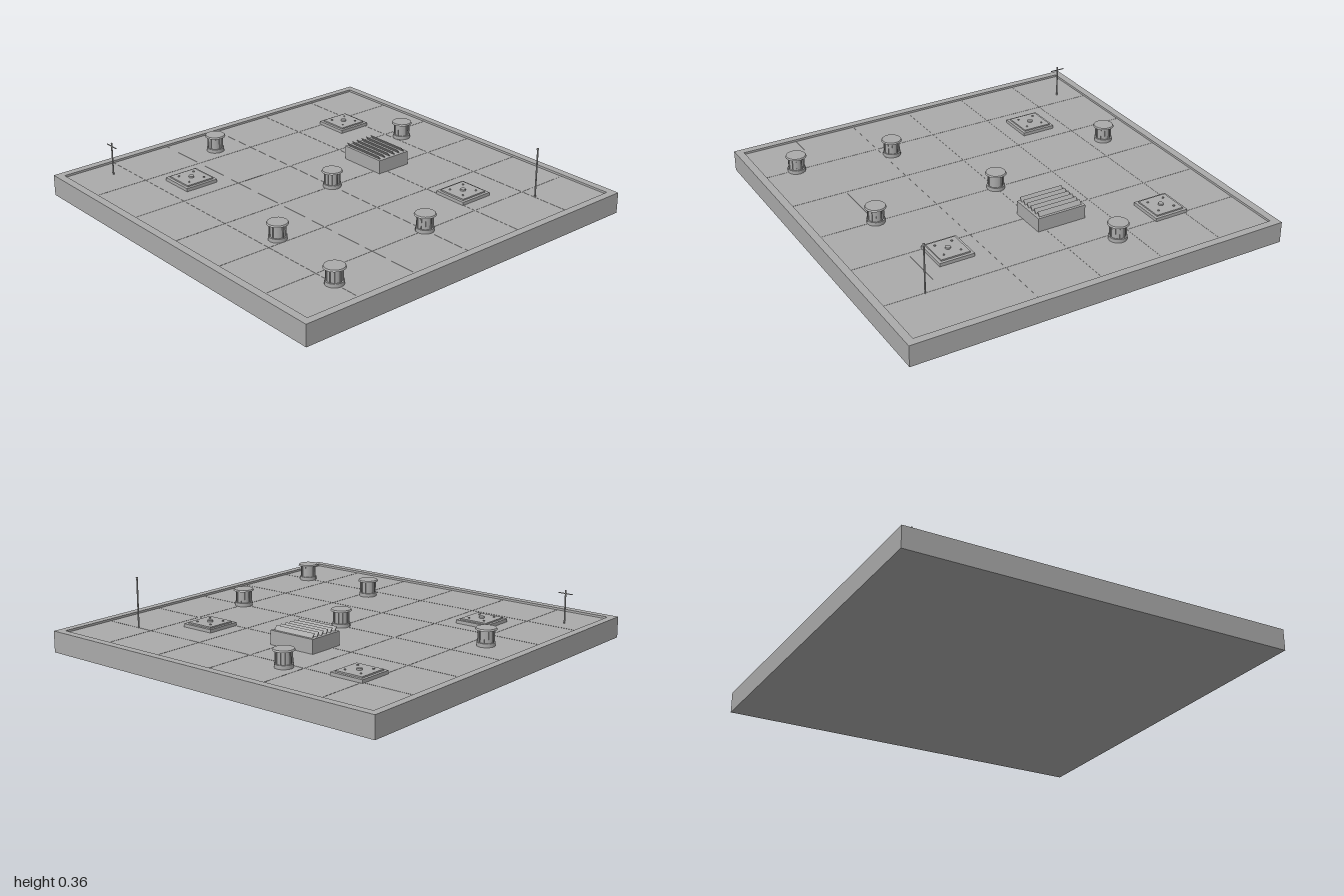
import * as THREE from 'three';

const grey = new THREE.MeshStandardMaterial({ color: 0xaaaaaa });
grey.name = 'weathered grey';

const DECK = 0.098; // walking surface
const RIM = 0.109; // top of the edge trim

function add(parent, name, geometry, x = 0, y = 0, z = 0) {
  const mesh = new THREE.Mesh(geometry, grey);
  mesh.name = name;
  mesh.position.set(x, y, z);
  parent.add(mesh);
  return mesh;
}

// Box given by its base height and top height
function block(parent, name, w, d, y0, y1, x = 0, z = 0) {
  return add(parent, name, new THREE.BoxGeometry(w, y1 - y0, d), x, (y0 + y1) / 2, z);
}

// Upright cylinder given by its base height and top height
function post(parent, name, rTop, rBottom, y0, y1, sides, x = 0, z = 0) {
  const g = new THREE.CylinderGeometry(rTop, rBottom, y1 - y0, sides);
  return add(parent, name, g, x, (y0 + y1) / 2, z);
}

function place(parent, name, x, z) {
  const group = new THREE.Group();
  group.name = name;
  group.position.set(x, 0, z);
  parent.add(group);
  return group;
}

// Round vent with ribs and an overhanging cap
function addVent(parent, x, z) {
  const vent = place(parent, 'roofVent', x, z);
  post(vent, 'ventFlange', 0.046, 0.046, DECK, 0.117, 16);
  post(vent, 'ventBody', 0.038, 0.038, 0.117, 0.18, 16);
  for (let i = 0; i < 10; i++) {
    const a = (i / 10) * Math.PI * 2;
    const rib = block(vent, 'ventRib', 0.006, 0.005, 0.117, 0.18, Math.cos(a) * 0.039, Math.sin(a) * 0.039);
    rib.rotation.y = -a;
  }
  post(vent, 'ventCap', 0.05, 0.054, 0.179, 0.187, 16);
}

// Square hatch with a stepped lid, bolts and a centre knob
function addHatch(parent, x, z) {
  const hatch = place(parent, 'roofHatch', x, z);
  block(hatch, 'hatchCurb', 0.184, 0.184, DECK, 0.115);
  block(hatch, 'hatchLid', 0.154, 0.154, 0.115, 0.122);
  post(hatch, 'hatchKnob', 0.014, 0.014, 0.122, 0.13, 10);
  for (const sx of [-1, 1]) {
    for (const sz of [-1, 1]) {
      post(hatch, 'hatchBolt', 0.005, 0.005, 0.122, 0.127, 6, sx * 0.045, sz * 0.045);
    }
  }
}

export function createModel() {
  const model = new THREE.Group();
  model.name = 'rooftop';

  // Slab and raised edge trim
  block(model, 'slab', 2, 2, 0, DECK);
  for (const s of [-1, 1]) {
    block(model, 'endTrim', 2, 0.04, DECK, RIM, 0, s * 0.98);
    block(model, 'sideTrim', 0.04, 1.92, DECK, RIM, s * 0.98, 0);
  }

  // Deck panel seams
  for (let i = -2; i <= 2; i++) {
    block(model, 'deckSeam', 0.004, 1.92, DECK, DECK + 0.001, i / 3, 0);
    block(model, 'deckSeam', 1.92, 0.004, DECK, DECK + 0.001, 0, i / 3);
  }

  const vents = [[-0.25, -0.71], [0, 0], [0.665, 0], [-0.755, 0.165], [0.29, 0.58], [0.79, 0.665]];
  for (const [x, z] of vents) addVent(model, x, z);

  const hatches = [[-0.587, -0.587], [0.5, -0.42], [-0.504, 0.5]];
  for (const [x, z] of hatches) addHatch(model, x, z);

  // Air handling unit with tilted louvres
  const unit = place(model, 'airUnit', -0.088, -0.378);
  block(unit, 'unitBody', 0.264, 0.196, DECK, 0.17);
  for (let i = 0; i < 6; i++) {
    const slat = add(unit, 'louvre', new THREE.BoxGeometry(0.236, 0.026, 0.004), 0, 0.179, -0.075 + i * 0.0325);
    slat.rotation.x = 0.65;
  }

  // Tall mast
  const mast = place(model, 'tallMast', 0.75, -0.67);
  post(mast, 'mastPole', 0.004, 0.004, DECK, 0.35, 8);
  post(mast, 'mastTip', 0.006, 0.006, 0.348, 0.356, 8);

  // Short aerial with a crossbar
  const aerial = place(model, 'aerial', -0.835, 0.75);
  post(aerial, 'aerialPole', 0.004, 0.004, DECK, 0.27, 8);
  block(aerial, 'aerialCrossbar', 0.08, 0.004, 0.25, 0.254);

  return model;
}
